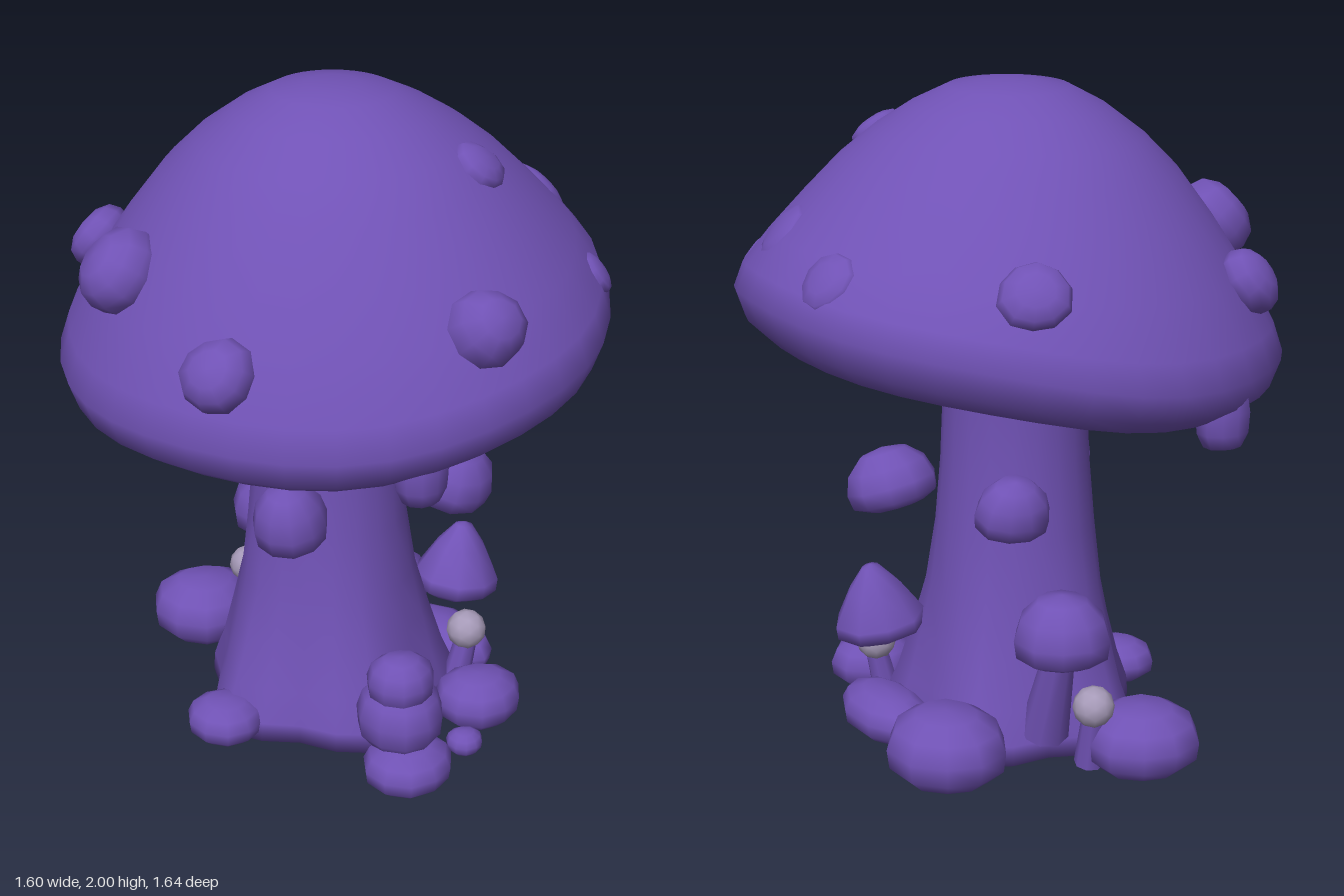
import * as THREE from 'three';
import { mergeVertices } from 'three/addons/utils/BufferGeometryUtils.js';

const V = (x, y, z) => new THREE.Vector3(x, y, z);

// Weld seams, then smooth the normals
function smooth(geo) {
  geo.deleteAttribute('uv');
  geo.deleteAttribute('normal');
  const g = mergeVertices(geo, 1e-4);
  g.computeVertexNormals();
  return g;
}

// Lathe with a rule that moves each vertex
function turned(profile, sides, rule) {
  const geo = new THREE.LatheGeometry(profile.map(([r, y]) => new THREE.Vector2(r, y)), sides);
  const p = geo.attributes.position, v = V(0, 0, 0);
  for (let i = 0; i < p.count; i++) {
    v.fromBufferAttribute(p, i);
    rule(v);
    p.setXYZ(i, v.x, v.y, v.z);
  }
  return smooth(geo);
}

// Slightly irregular outline for small lumps
const lumpy = (v) => {
  const a = Math.atan2(v.z, v.x), k = 1 + 0.04 * Math.sin(2 * a + 1) + 0.03 * Math.cos(3 * a);
  v.x *= k;
  v.z *= k;
};

export function createModel() {
  const model = new THREE.Group();
  const purple = new THREE.MeshStandardMaterial({ color: 0x7052b5 });
  purple.name = 'purple';
  const grey = new THREE.MeshStandardMaterial({ color: 0xa79bb9 });
  grey.name = 'pale grey';

  const add = (name, geo, pos, scale = [1, 1, 1], mat = purple) => {
    const m = new THREE.Mesh(geo, mat);
    m.name = name;
    m.position.set(...pos);
    m.scale.set(...scale);
    model.add(m);
    return m;
  };

  // Big cap: hollow underneath, leaning down toward -x, rim lifted at +x
  const capProfile = [[0, 1.31], [0.2, 1.31], [0.4, 1.285], [0.55, 1.23], [0.64, 1.175], [0.73, 1.155],
    [0.79, 1.2], [0.82, 1.285], [0.79, 1.37], [0.71, 1.5], [0.61, 1.63], [0.5, 1.76], [0.4, 1.85],
    [0.29, 1.925], [0.18, 1.98], [0.08, 1.997], [0, 2]];
  add('cap', turned(capProfile, 36, (v) => {
    const a = Math.atan2(v.z, v.x), r = Math.hypot(v.x, v.z) / 0.8;
    const low = THREE.MathUtils.clamp((2 - v.y) / 0.65, 0, 1);
    const lift = 0.03 * Math.max(0, Math.cos(a + 0.15)) ** 3;
    v.y += low * (0.13 * v.x + r * r * (lift + 0.014 * Math.cos(2 * a) + 0.008 * Math.sin(5 * a)));
    v.x *= 0.975;
  }), [0, 0, 0]);

  // Stem with a flared, lobed foot
  const stemProfile = [[0, 0], [0.38, 0], [0.375, 0.06], [0.34, 0.16], [0.305, 0.3], [0.27, 0.45],
    [0.243, 0.65], [0.226, 0.85], [0.217, 1.05], [0.224, 1.2], [0.29, 1.33]];
  add('stem', turned(stemProfile, 20, (v) => {
    const a = Math.atan2(v.z, v.x), foot = Math.max(0, 1 - v.y / 0.55);
    const k = 1 + 0.1 * foot * Math.cos(5 * a + Math.PI);
    v.x = v.x * k - 0.015;
    v.z = v.z * k - 0.01;
  }), [0, 0, 0]);

  // Unit lumps: rounded blob, domed cap and pointed cap
  const blob = turned([[0, -1], [0.7, -0.95], [0.96, -0.55], [1, 0], [0.87, 0.55], [0.52, 0.9], [0, 1]], 10, lumpy);
  const dome = turned([[0, -0.8], [0.6, -0.95], [0.95, -0.7], [1, -0.2], [0.87, 0.38], [0.52, 0.85], [0, 1]], 10, lumpy);
  const point = turned([[0, -0.7], [0.6, -0.95], [0.98, -0.72], [0.98, -0.4], [0.58, 0.38], [0.2, 0.93], [0, 1]], 9, lumpy);

  // Raised spots on the cap: x, y, z, radius, thickness
  const spots = [
    [0.2, 1.81, 0.39, 0.085, 0.04], [-0.05, 1.49, 0.69, 0.115, 0.095],
    [-0.66, 1.4, 0.31, 0.105, 0.075], [-0.63, 1.54, -0.18, 0.125, 0.09],
    [-0.42, 1.47, -0.59, 0.1, 0.06], [0.35, 1.55, -0.61, 0.1, 0.05],
    [0.7, 1.54, -0.15, 0.09, 0.035], [0.63, 1.59, 0.21, 0.1, 0.035],
    [0.54, 1.45, 0.54, 0.068, 0.025],
  ];
  for (const [x, y, z, r, h] of spots) {
    const s = add('capSpot', blob, [x, y, z], [r, h, r]);
    s.quaternion.setFromUnitVectors(V(0, 1, 0), V(x, 0.55, z).normalize());
  }

  // Drips hanging from the rim
  for (const z of [0.67, -0.685]) add('rimDrip', blob, [-0.25, 1.14, z], [0.08, 0.11, 0.07]);

  // Shelf caps on the stem: x, y, z, radii, tilt about x and z
  const shelves = [
    [-0.3, 0.785, 0.16, 0.11, 0.108, 0.11, 0.1, 0.2],
    [0.275, 0.77, 0.24, 0.137, 0.095, 0.135, 0.3, -0.12],
    [0.18, 0.815, -0.275, 0.11, 0.088, 0.105, -0.3, -0.1],
  ];
  for (const [x, y, z, a, b, c, tx, tz] of shelves) {
    add('shelfCap', dome, [x, y, z], [a, b, c]).rotation.set(tx, 0, tz);
  }
  add('pointedCap', point, [0.37, 0.405, 0.18], [0.137, 0.125, 0.135]).rotation.z = -0.16;

  // Rounded growths around the foot: x, y, z, radii
  const growths = [
    [-0.17, 0.068, 0.55, 0.135, 0.068, 0.128],
    [0.23, 0.078, 0.43, 0.135, 0.078, 0.128],
    [0.39, 0.07, 0.1, 0.11, 0.07, 0.2],
    [0.41, 0.115, -0.26, 0.168, 0.108, 0.19],
    [-0.11, 0.1, -0.53, 0.168, 0.1, 0.17],
    [0.07, 0.035, 0.54, 0.055, 0.035, 0.055],
    [-0.43, 0.062, 0, 0.115, 0.062, 0.12],
    [-0.15, 0.21, 0.49, 0.125, 0.105, 0.133],
    [-0.15, 0.325, 0.49, 0.1, 0.075, 0.1],
  ];
  for (const [x, y, z, a, b, c] of growths) add('footGrowth', blob, [x, y, z], [a, b, c]);

  // Slim stalks between two points
  const stalk = (name, from, to, r0, r1) => {
    const d = to.clone().sub(from);
    const mid = from.clone().addScaledVector(d, 0.5);
    const m = add(name, new THREE.CylinderGeometry(r1, r0, d.length(), 8), mid.toArray());
    m.quaternion.setFromUnitVectors(V(0, 1, 0), d.normalize());
  };

  // Small mushroom at the back
  stalk('smallStalk', V(0.09, 0.08, -0.31), V(0.1, 0.42, -0.41), 0.075, 0.042);
  add('smallCap', dome, [0.105, 0.46, -0.415], [0.138, 0.108, 0.145]);

  // Pale beads on short stalks
  const bead = new THREE.IcosahedronGeometry(0.063, 1);
  for (const [x, z] of [[0.31, 0.285], [0.035, -0.48]]) {
    stalk('beadStalk', V(x * 0.9, 0.02, z * 0.95), V(x, 0.18, z), 0.045, 0.035);
    add('bead', bead, [x, 0.215, z], [1, 1, 1], grey);
  }
  return model;
}
